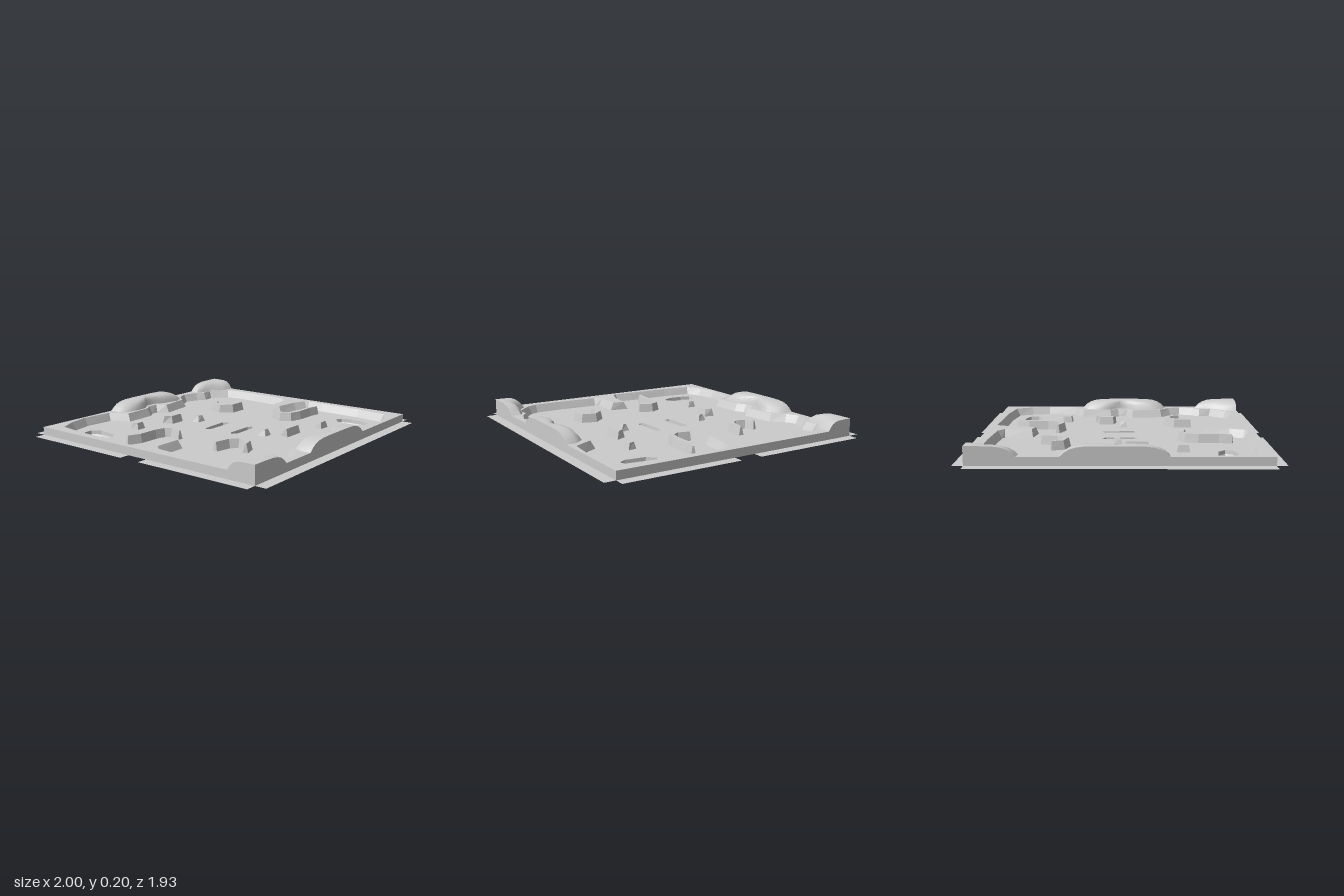
import * as THREE from 'three';
import { toCreasedNormals } from 'three/addons/utils/BufferGeometryUtils.js';

const FLOOR = 0.08, RIM = 0.135, W = 0.93, D = 0.89;
const flat = new THREE.MeshStandardMaterial({ color: 0xcccccc, side: THREE.DoubleSide, flatShading: true });
const smooth = new THREE.MeshStandardMaterial({ color: 0xcccccc, side: THREE.DoubleSide });

// Rings are lists of [x, z]; plan() maps them to a 2D plan seen from above
const plan = ring => ring.map(([x, z]) => new THREE.Vector2(x, -z));
const ccw = ring => (THREE.ShapeUtils.area(plan(ring)) < 0 ? [...ring].reverse() : ring);
const turn = ring => ring.map(([x, z]) => [-x, -z]);
const scale = (ring, s, [cx, cz]) => ring.map(([x, z]) => [cx + (x - cx) * s, cz + (z - cz) * s]);
const middle = ring => [0, 1].map(k => ring.reduce((sum, p) => sum + p[k], 0) / ring.length);

// Moves a counter-clockwise ring inwards
function inset(ring, d) {
  const n = ring.length;
  return ring.map(([x, z], i) => {
    const a = ring[(i + n - 1) % n], b = ring[(i + 1) % n];
    const dx = b[0] - a[0], dz = b[1] - a[1], l = Math.hypot(dx, dz);
    return [x + (dz / l) * d, z - (dx / l) * d];
  });
}

// Skins a stack of { ring, y } levels, closing the last one if asked
function loft(levels, cap = true) {
  const pos = [];
  const put = (level, i) => pos.push(level.ring[i][0], level.y, level.ring[i][1]);
  const n = levels[0].ring.length;
  for (let k = 0; k + 1 < levels.length; k++) {
    const a = levels[k], b = levels[k + 1];
    for (let i = 0; i < n; i++) {
      const j = (i + 1) % n;
      put(a, i); put(a, j); put(b, j);
      put(a, i); put(b, j); put(b, i);
    }
  }
  if (cap) {
    const top = levels[levels.length - 1];
    for (const f of THREE.ShapeUtils.triangulateShape(plan(top.ring), [])) f.forEach(i => put(top, i));
  }
  const g = new THREE.BufferGeometry();
  g.setAttribute('position', new THREE.Float32BufferAttribute(pos, 3));
  g.computeVertexNormals();
  return g;
}

// Level sheet with holes
function sheet(ring, holes, y) {
  const shape = new THREE.Shape(plan(ring));
  shape.holes = holes.map(h => new THREE.Path(plan(h)));
  return new THREE.ShapeGeometry(shape).rotateX(-Math.PI / 2).translate(0, y, 0);
}

// Outline of a band along a curved spine, narrowing at its ends
function band(spine, width) {
  const left = [], right = [];
  spine.forEach(([x, z], i) => {
    const a = spine[Math.max(i - 1, 0)], b = spine[Math.min(i + 1, spine.length - 1)];
    const l = Math.hypot(b[0] - a[0], b[1] - a[1]);
    const w = (i === 0 || i === spine.length - 1 ? 0.6 : 1) * width / 2;
    const nx = (-(b[1] - a[1]) / l) * w, nz = ((b[0] - a[0]) / l) * w;
    left.push([x + nx, z + nz]);
    right.unshift([x - nx, z - nz]);
  });
  return [...left, ...right];
}

const rect = (x0, z0, x1, z1) => ccw([[x0, z0], [x1, z0], [x1, z1], [x0, z1]]);

export function createModel() {
  const model = new THREE.Group();
  const add = (name, geometry, material = flat) => {
    const mesh = new THREE.Mesh(geometry, material);
    mesh.name = name;
    model.add(mesh);
  };

  // Half of the inner edge of the rim; the other half is turned by 180 degrees
  const half = [
    [-0.6, -0.02], [-0.77, -0.04], [-0.87, -0.08], [-0.89, -0.11], [-0.88, -0.24], [-0.87, -0.56],
    [-0.84, -0.78], [-0.72, -0.84], [-0.58, -0.87], [-0.36, -0.85], [-0.29, -0.72], [-0.08, -0.73],
    [-0.02, -0.77], [0.06, -0.77], [0.1, -0.7], [0.32, -0.73], [0.39, -0.81], [0.48, -0.85],
    [0.59, -0.81], [0.64, -0.77], [0.73, -0.78], [0.84, -0.67], [0.87, -0.6], [0.87, -0.4],
    [0.85, -0.11], [0.81, -0.06], [0.62, -0.06],
  ];
  const edge = ccw([...half, ...turn(half)]);
  const foot = inset(edge, 0.03);
  const outer = rect(-W, -D, W, D);
  add('rimTop', sheet(outer, [edge], RIM));
  add('rimInnerWall', loft([{ ring: edge, y: RIM }, { ring: foot, y: FLOOR }], false));
  add('outerWall', loft([{ ring: outer, y: FLOOR }, { ring: outer, y: RIM }], false));

  // Everything that rises from or sinks into the floor, each twice
  const holes = [];
  const both = (name, ring, levels) => {
    for (const r of [ring, turn(ring)]) {
      const base = ccw(r);
      holes.push(base);
      add(name, loft([{ ring: base, y: FLOOR }, ...levels(base)]));
    }
  };
  const raised = (name, ring, d, y) => both(name, ring, base => [{ ring: inset(base, d), y }]);
  const sunk = (name, ring, steps) => both(name, ring, base =>
    steps.map(([s, y]) => ({ ring: scale(base, s, middle(base)), y })));

  raised('windingWall', band([[-0.76, -0.26], [-0.67, -0.235], [-0.53, -0.235], [-0.45, -0.215],
    [-0.42, -0.16], [-0.45, -0.07]], 0.055), 0.013, 0.14);
  raised('crescentWall', band([[0.45, -0.47], [0.38, -0.44], [0.355, -0.36], [0.41, -0.3],
    [0.53, -0.29]], 0.06), 0.014, 0.14);
  raised('smallBlock', [[-0.45, -0.535], [-0.365, -0.535], [-0.37, -0.475], [-0.44, -0.475]], 0.015, 0.125);
  raised('wideBlock', [[-0.19, -0.47], [-0.03, -0.47], [-0.05, -0.4], [-0.16, -0.4]], 0.015, 0.135);
  raised('pyramidBlock', [[-0.02, -0.34], [0.045, -0.34], [0.055, -0.275], [-0.01, -0.28]], 0.022, 0.125);

  sunk('ovalPit', [[-0.72, -0.72], [-0.655, -0.72], [-0.615, -0.66], [-0.63, -0.52], [-0.68, -0.47],
    [-0.73, -0.49], [-0.75, -0.56], [-0.745, -0.65]], [[0.97, 0.055], [0.84, 0.04], [0.78, 0.015]]);
  sunk('longPit', [[-0.12, -0.13], [0.1, -0.14], [0.125, -0.11], [0.1, -0.085], [-0.1, -0.085],
    [-0.125, -0.105]], [[0.95, 0.05], [0.86, 0.035], [0.8, 0]]);
  add('floor', sheet(foot, holes, FLOOR));

  // Rounded hills on the rim, cut straight at the outer wall
  const dome = [[1, RIM], [0.92, 0.16], [0.82, 0.18], [0.7, 0.192], [0.55, 0.198], [0.3, 0.2]];
  const hill = (name, ring, centre) => {
    for (const [r, c] of [[ring, centre], [turn(ring), turn([centre])[0]]]) {
      const base = ccw(r);
      const g = loft(dome.map(([s, y]) => ({ ring: scale(base, s, c), y })));
      add(name, toCreasedNormals(g, 0.7), smooth);
    }
  };
  hill('middleHill', [[-0.3, -D], [-0.3, -0.82], [-0.25, -0.76], [-0.17, -0.745], [-0.08, -0.75],
    [-0.01, -0.8], [0.07, -0.8], [0.14, -0.76], [0.27, -0.735], [0.34, -0.77], [0.365, -0.83],
    [0.36, -D]], [0.03, -D]);
  hill('cornerHill', [[0.62, -D], [0.61, -0.82], [0.66, -0.79], [0.75, -0.78], [0.83, -0.71],
    [W, -0.7], [W, -D]], [W, -D]);

  // Flat strips around the base, with a gap at the middle of each side
  for (const s of [-1, 1]) {
    add('endStrip', sheet(rect(-W, s * D, W, s * 0.965), [], FLOOR));
    for (const t of [-1, 1]) add('sideStrip', sheet(rect(s * W, t * 0.075, s, t * D), [], FLOOR));
  }
  return model;
}
